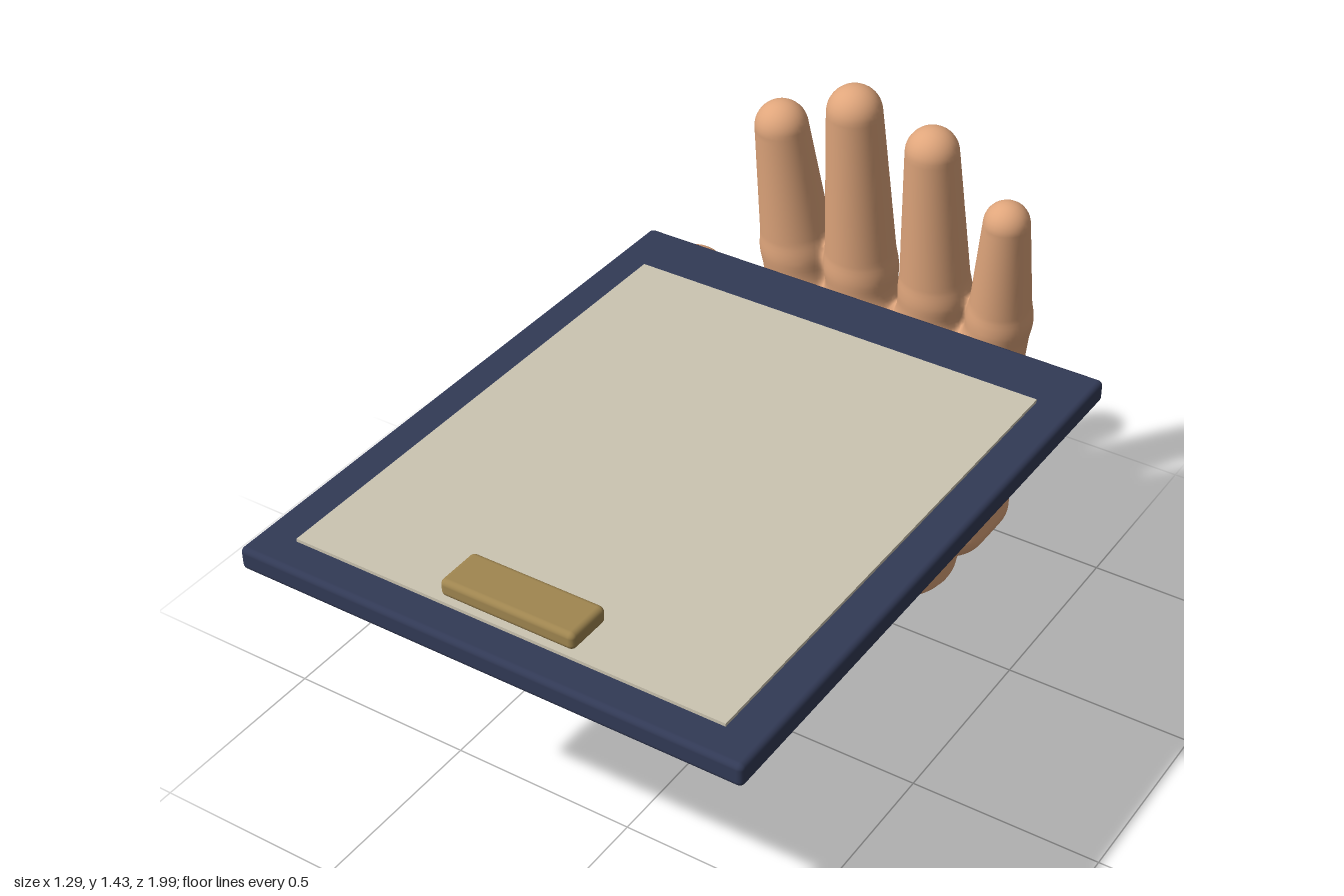
import * as THREE from 'three';
import { RoundedBoxGeometry } from 'three/addons/geometries/RoundedBoxGeometry.js';

const material = (name, color) => {
  const m = new THREE.MeshStandardMaterial({ color });
  m.name = name;
  return m;
};

// Smooth union of two distances, blended over a width k
const blend = (a, b, k) => {
  const h = Math.max(k - Math.abs(a - b), 0) / k;
  return Math.min(a, b) - h * h * k / 4;
};

// Tapered limb segment between two balls [x, y, z, radius]
const limb = (x, y, z, a, b) => {
  const dx = b[0] - a[0], dy = b[1] - a[1], dz = b[2] - a[2];
  const px = x - a[0], py = y - a[1], pz = z - a[2];
  const t = Math.min(1, Math.max(0, (px * dx + py * dy + pz * dz) / (dx * dx + dy * dy + dz * dz)));
  return Math.hypot(px - t * dx, py - t * dy, pz - t * dz) - (a[3] + t * (b[3] - a[3]));
};

// Rounded box: centre, half sizes, corner radius
const roundBox = (x, y, z, c, h, r) => {
  const qx = Math.abs(x - c[0]) - h[0] + r;
  const qy = Math.abs(y - c[1]) - h[1] + r;
  const qz = Math.abs(z - c[2]) - h[2] + r;
  return Math.hypot(Math.max(qx, 0), Math.max(qy, 0), Math.max(qz, 0)) +
    Math.min(Math.max(qx, qy, qz), 0) - r;
};

// Knuckle, middle joint and tip of each finger
const FINGERS = [
  [[-0.265, 0.70, -0.73, 0.090], [-0.285, 0.91, -0.715, 0.093], [-0.307, 1.262, -0.668, 0.067]],
  [[-0.090, 0.72, -0.73, 0.092], [-0.097, 0.91, -0.715, 0.092], [-0.100, 1.362, -0.664, 0.069]],
  [[0.095, 0.71, -0.73, 0.090], [0.115, 0.91, -0.715, 0.090], [0.114, 1.315, -0.666, 0.066]],
  [[0.265, 0.68, -0.73, 0.083], [0.297, 0.89, -0.715, 0.080], [0.320, 1.184, -0.670, 0.057]],
];
const THUMB = [[-0.18, 0.26, -0.72, 0.13], [-0.45, 0.53, -0.68, 0.118], [-0.55, 0.75, -0.645, 0.089]];
const WRIST = [[0, -0.1, -0.73, 0.168], [0, 0.4, -0.73, 0.263]];

// Signed distance to the whole hand
function handDistance(x, y, z) {
  let fingers = 1;
  for (const [a, b, c] of FINGERS) {
    const finger = blend(limb(x, y, z, a, b), limb(x, y, z, b, c), 0.012);
    fingers = blend(fingers, finger, 0.025);
  }
  const thumb = blend(limb(x, y, z, THUMB[0], THUMB[1]), limb(x, y, z, THUMB[1], THUMB[2]), 0.03);
  let d = roundBox(x, y, z, [0, 0.485, -0.73], [0.318, 0.315, 0.14], 0.085);
  d = blend(d, limb(x, y, z, ...WRIST), 0.09);
  d = blend(d, thumb, 0.09);
  d = blend(d, fingers, 0.06);
  return -blend(-d, y, 0.02); // flat cut under the wrist
}

// Skin a distance function with a smooth mesh: one vertex per crossed cell
function skin(distance, min, max, step) {
  const n = min.map((m, i) => Math.ceil((max[i] - m) / step) + 1);
  const stride = [1, n[0], n[0] * n[1]];
  const field = new Float32Array(n[0] * n[1] * n[2]);
  const eachCell = (from, fn) => {
    for (let k = from; k < n[2] - 1; k++)
      for (let j = from; j < n[1] - 1; j++)
        for (let i = from; i < n[0] - 1; i++) fn(i, j, k, i + j * stride[1] + k * stride[2]);
  };
  for (let k = 0, id = 0; k < n[2]; k++)
    for (let j = 0; j < n[1]; j++)
      for (let i = 0; i < n[0]; i++)
        field[id++] = distance(min[0] + i * step, min[1] + j * step, min[2] + k * step);

  const gradient = (x, y, z) => {
    const e = 0.001;
    return [
      (distance(x + e, y, z) - distance(x - e, y, z)) / (2 * e),
      (distance(x, y + e, z) - distance(x, y - e, z)) / (2 * e),
      (distance(x, y, z + e) - distance(x, y, z - e)) / (2 * e),
    ];
  };

  const vertexOf = new Int32Array(field.length).fill(-1);
  const positions = [], normals = [], index = [];
  eachCell(0, (i, j, k, id) => {
    let inside = 0;
    for (let c = 0; c < 8; c++)
      if (field[id + (c & 1) + ((c >> 1) & 1) * stride[1] + (c >> 2) * stride[2]] < 0) inside++;
    if (inside === 0 || inside === 8) return;
    // Pull the cell centre onto the surface
    const p = [i, j, k].map((v, a) => min[a] + (v + 0.5) * step);
    let g;
    for (let s = 0; s < 4; s++) {
      g = gradient(...p);
      const f = distance(...p) / Math.max(g[0] ** 2 + g[1] ** 2 + g[2] ** 2, 0.2);
      for (let a = 0; a < 3; a++) p[a] -= f * g[a];
    }
    const length = Math.hypot(...g) || 1;
    vertexOf[id] = positions.length / 3;
    positions.push(...p);
    normals.push(...g.map((v) => v / length));
  });

  // One quad around each grid edge that crosses the surface
  eachCell(1, (i, j, k, id) => {
    for (let a = 0; a < 3; a++) {
      const low = field[id] < 0;
      if (low === field[id + stride[a]] < 0) continue;
      const u = stride[(a + 1) % 3], v = stride[(a + 2) % 3];
      const q = [id - u - v, id - v, id, id - u].map((c) => vertexOf[c]);
      if (!low) q.reverse();
      index.push(q[0], q[1], q[2], q[0], q[2], q[3]);
    }
  });

  const geometry = new THREE.BufferGeometry();
  geometry.setAttribute('position', new THREE.Float32BufferAttribute(positions, 3));
  geometry.setAttribute('normal', new THREE.Float32BufferAttribute(normals, 3));
  geometry.setIndex(index);
  return geometry;
}

export function createModel() {
  const model = new THREE.Group();
  model.name = 'handWithBoard';
  const skinTone = material('skin', 0xe0a67c);
  const navy = material('navy', 0x323a56);
  const cream = material('cream', 0xccc5b2);
  const brass = material('brass', 0xa08650);

  const add = (name, geometry, mat, x, y, z) => {
    const mesh = new THREE.Mesh(geometry, mat);
    mesh.name = name;
    mesh.position.set(x, y, z);
    model.add(mesh);
  };

  // Open hand with wrist, palm, thumb and four fingers in one skin
  add('hand', skin(handDistance, [-0.69, -0.04, -1.05], [0.43, 1.48, -0.41], 0.0125), skinTone, 0, 0, 0);

  // Flat board with its sheet and clip
  add('board', new RoundedBoxGeometry(1.288, 0.058, 1.585, 3, 0.014), navy, 0, 0.876, 0.2075);
  add('sheet', new THREE.BoxGeometry(1.104, 0.009, 1.332), cream, 0, 0.9085, 0.25);
  add('clip', new RoundedBoxGeometry(0.345, 0.044, 0.12, 3, 0.014), brass, 0, 0.933, 0.842);

  return model;
}
